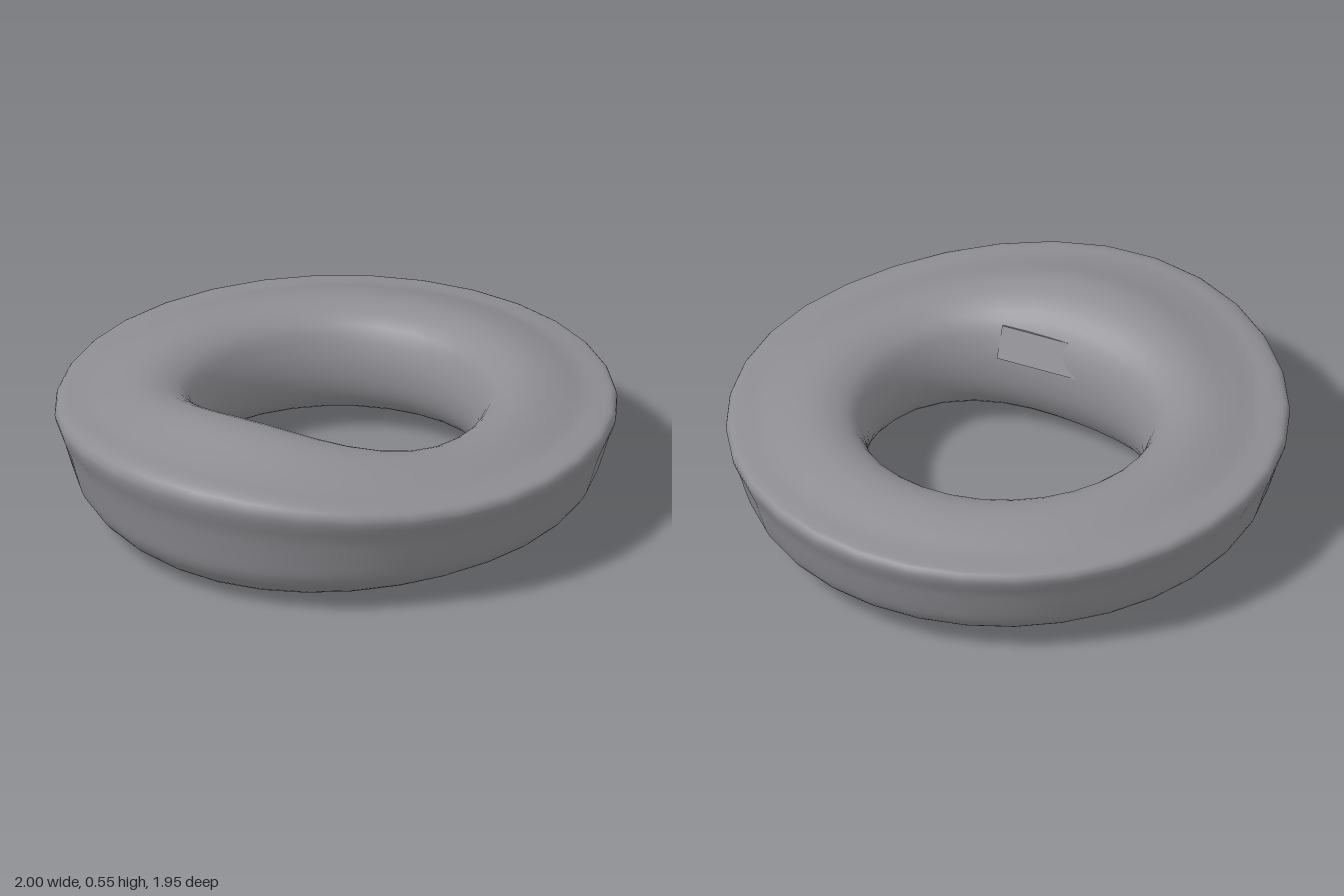
import * as THREE from 'three';

const material = new THREE.MeshStandardMaterial({ color: 0x8e8d92 });

// Closed cross-section curve from [radius, height] points, counterclockwise
function section(points) {
  const curve = new THREE.CatmullRomCurve3(points.map(([r, y]) => new THREE.Vector3(r, y, 0)), true);
  return (t) => curve.getPoint(t);
}

// Regular section, and the fatter raised section; matching points in both
const regular = section([
  [0.997, 0.365], [0.985, 0.392], [0.945, 0.402], [0.88, 0.412], [0.79, 0.442], [0.70, 0.46], [0.62, 0.45],
  [0.55, 0.41], [0.51, 0.33], [0.497, 0.25], [0.51, 0.17], [0.55, 0.105], [0.62, 0.06], [0.70, 0.05],
  [0.79, 0.056], [0.87, 0.09], [0.92, 0.14], [0.95, 0.22], [0.972, 0.295],
]);
const raised = section([
  [1.01, 0.42], [0.995, 0.462], [0.955, 0.484], [0.89, 0.492], [0.79, 0.515], [0.66, 0.553], [0.55, 0.54],
  [0.455, 0.48], [0.397, 0.38], [0.382, 0.28], [0.397, 0.18], [0.455, 0.08], [0.55, 0.02], [0.66, 0.003],
  [0.78, 0.018], [0.865, 0.06], [0.925, 0.13], [0.95, 0.22], [0.975, 0.32],
]);

const SIDES = 32;
const STEPS = 57;
const RAISED_ANGLE = THREE.MathUtils.degToRad(160);
const REACH = THREE.MathUtils.degToRad(76);

// Sweep round the ring, blending the two sections near the raised side
function ringGeometry() {
  const positions = [];
  const index = [];
  for (let i = 0; i < SIDES; i++) {
    const angle = (i / SIDES) * Math.PI * 2;
    const away = Math.abs(Math.atan2(Math.sin(angle - RAISED_ANGLE), Math.cos(angle - RAISED_ANGLE)));
    const blend = away < REACH ? Math.cos((away / REACH) * Math.PI / 2) ** 2 : 0;
    const next = (i + 1) % SIDES;
    for (let j = 0; j < STEPS; j++) {
      const p = regular(j / STEPS).lerp(raised(j / STEPS), blend);
      positions.push(p.x * Math.cos(angle), p.y, p.x * Math.sin(angle) * 0.98);
      const up = (j + 1) % STEPS;
      const a = i * STEPS + j, b = i * STEPS + up, c = next * STEPS + up, d = next * STEPS + j;
      index.push(a, b, c, a, c, d);
    }
  }
  const geometry = new THREE.BufferGeometry();
  geometry.setAttribute('position', new THREE.Float32BufferAttribute(positions, 3));
  geometry.setIndex(index);
  geometry.computeVertexNormals();
  return geometry;
}

export function createModel() {
  const model = new THREE.Group();

  const ring = new THREE.Mesh(ringGeometry(), material);
  ring.name = 'ring';
  model.add(ring);

  // Plain plate set into the inner wall, facing the hole and leaning back
  const plate = new THREE.Mesh(new THREE.BoxGeometry(0.4, 0.12, 0.02), material);
  plate.name = 'innerPlate';
  plate.position.set(-0.347, 0.378, 0.212);
  plate.rotation.order = 'YXZ';
  plate.rotation.y = Math.atan2(0.87, -0.49);
  plate.rotation.x = -0.4;
  model.add(plate);

  return model;
}
